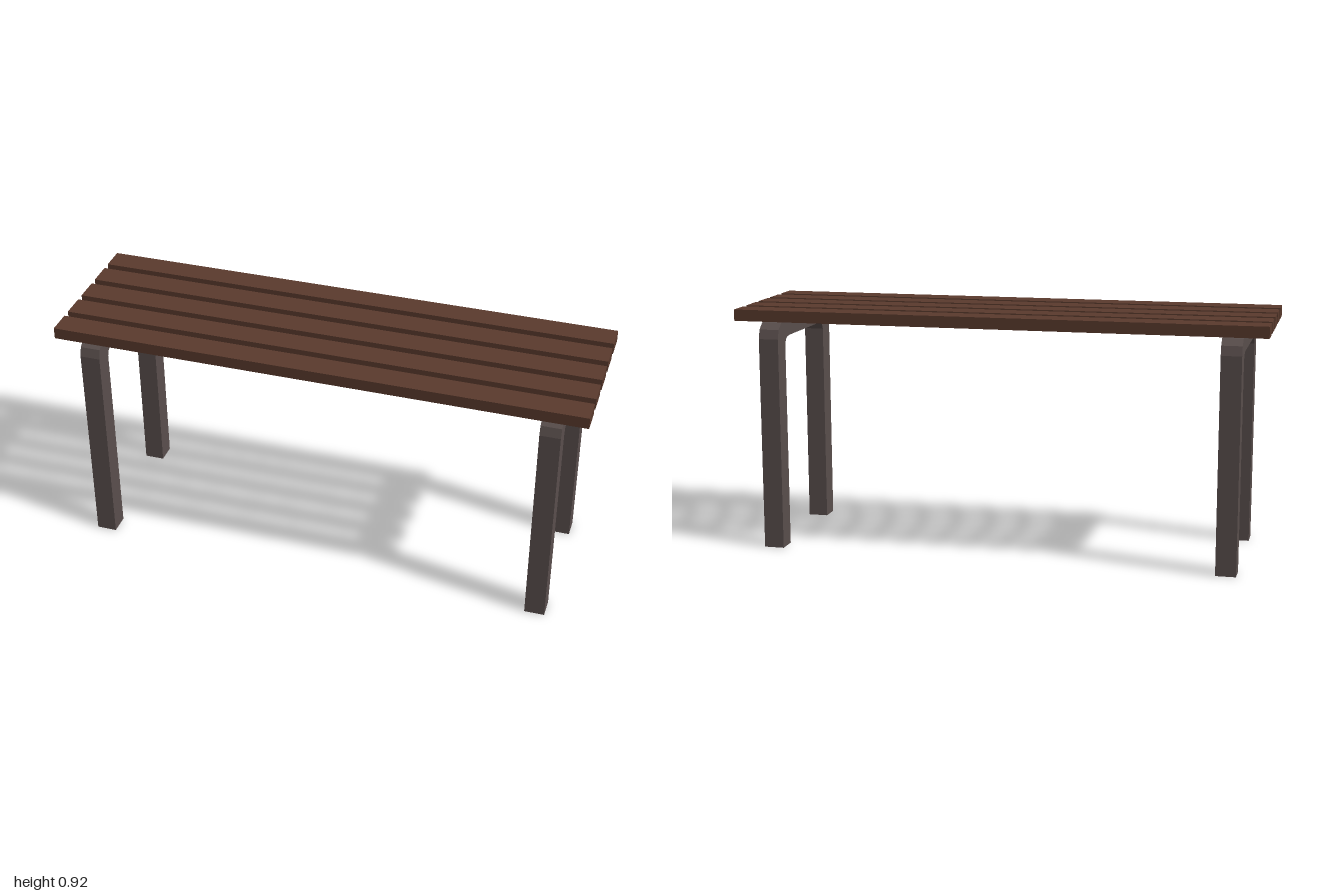
import * as THREE from 'three';

// Bent leg frame: arch outline extruded along x, hollow (open) at the feet
function legFrameGeometry(width) {
  const outer = [[0.291, 0], [0.291, 0.81], [0.281, 0.845], [0.253, 0.867], [0.205, 0.876]];
  const inner = [[0.162, 0.811], [0.187, 0.809], [0.205, 0.8], [0.214, 0.78], [0.214, 0]];
  const mirror = (pts) => pts.map(([z, y]) => [-z, y]).reverse();
  const outline = [...outer, ...mirror(outer), ...mirror(inner), ...inner];
  const shape = new THREE.Shape(outline.map(([z, y]) => new THREE.Vector2(z, y)));
  const solid = new THREE.ExtrudeGeometry(shape, { depth: width, bevelEnabled: false });
  solid.translate(0, 0, -width / 2).rotateY(Math.PI / 2);

  // Drop the triangles lying on the floor so the tube ends stay open
  const src = solid.getAttribute('position');
  const kept = [];
  for (let i = 0; i < src.count; i += 3) {
    if (Math.max(src.getY(i), src.getY(i + 1), src.getY(i + 2)) < 1e-4) continue;
    for (let k = i; k < i + 3; k++) kept.push(src.getX(k), src.getY(k), src.getZ(k));
  }
  const geometry = new THREE.BufferGeometry();
  geometry.setAttribute('position', new THREE.Float32BufferAttribute(kept, 3));
  geometry.computeVertexNormals();
  return geometry;
}

export function createModel() {
  const wood = new THREE.MeshStandardMaterial({ color: 0x5a3a2d });
  wood.name = 'brown wood';
  const metal = new THREE.MeshStandardMaterial({ color: 0x5a4f4d, side: THREE.DoubleSide });
  metal.name = 'grey metal';

  const bench = new THREE.Group();
  bench.name = 'bench';

  // Five seat slats
  const slatGeometry = new THREE.BoxGeometry(2, 0.043, 0.094);
  for (let i = 0; i < 5; i++) {
    const slat = new THREE.Mesh(slatGeometry, wood);
    slat.name = `seatSlat${i + 1}`;
    slat.position.set(0, 0.8985, 0.001 + (i - 2) * 0.125);
    bench.add(slat);
  }

  // A leg frame near each end
  const frameGeometry = legFrameGeometry(0.076);
  for (const side of [-1, 1]) {
    const frame = new THREE.Mesh(frameGeometry, metal);
    frame.name = side > 0 ? 'leftLegFrame' : 'rightLegFrame';
    frame.position.x = side * 0.868;
    bench.add(frame);
  }
  return bench;
}
